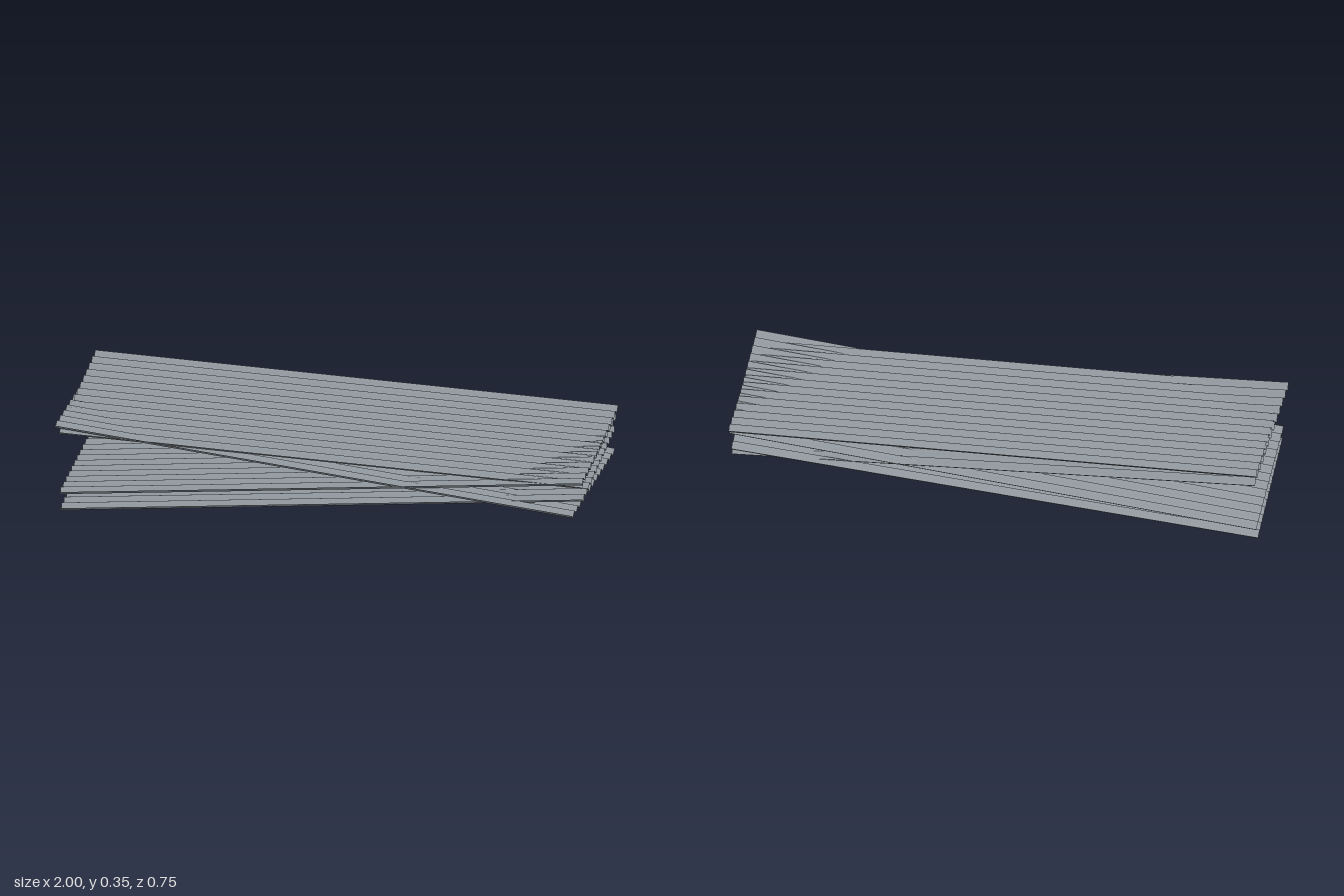
import * as THREE from 'three';

const WIDTH = 0.645, RIDGES = 13, AMPLITUDE = 0.009, STEPS = 10;

// One corrugated sheet: ridges run along x, with a crest on both long edges
function corrugatedGeometry(length) {
  const geo = new THREE.PlaneGeometry(length, WIDTH, 4, RIDGES * STEPS);
  geo.rotateX(-Math.PI / 2);
  const pos = geo.attributes.position;
  for (let i = 0; i < pos.count; i++) {
    const t = pos.getZ(i) / WIDTH + 0.5;
    pos.setY(i, AMPLITUDE * Math.cos(t * RIDGES * Math.PI * 2));
  }
  geo.computeVertexNormals();
  return geo;
}

export function createModel() {
  const group = new THREE.Group();
  group.name = 'corrugatedSheetPile';
  const steel = new THREE.MeshStandardMaterial({ color: 0x8f979d, side: THREE.DoubleSide });
  steel.name = 'galvanisedGrey';

  // Middle of the right (-x) end, middle of the left (+x) end, rise per unit of z
  const sheets = [
    ['bottomSheet', [-0.966, 0.018, 0.002], [0.99, 0.216, -0.008], -0.029],
    ['lowerMiddleSheet', [-0.966, 0.07, -0.006], [0.994, 0.281, 0.012], 0],
    ['upperMiddleSheet', [-0.98, 0.311, -0.058], [0.98, 0.161, 0.048], 0],
    ['topSheet', [-0.974, 0.317, -0.05], [0.992, 0.28, -0.013], -0.086],
  ];

  for (const [name, a, b, tilt] of sheets) {
    const start = new THREE.Vector3(...a), end = new THREE.Vector3(...b);
    const along = end.clone().sub(start);
    const mesh = new THREE.Mesh(corrugatedGeometry(along.length()), steel);
    mesh.name = name;
    // Lay the sheet along its own axis, leaning sideways by the tilt
    const x = along.normalize();
    const y = new THREE.Vector3(0, tilt, 1).cross(x).normalize();
    const z = x.clone().cross(y);
    mesh.quaternion.setFromRotationMatrix(new THREE.Matrix4().makeBasis(x, y, z));
    mesh.position.copy(start).add(end).multiplyScalar(0.5);
    group.add(mesh);
  }
  return group;
}
